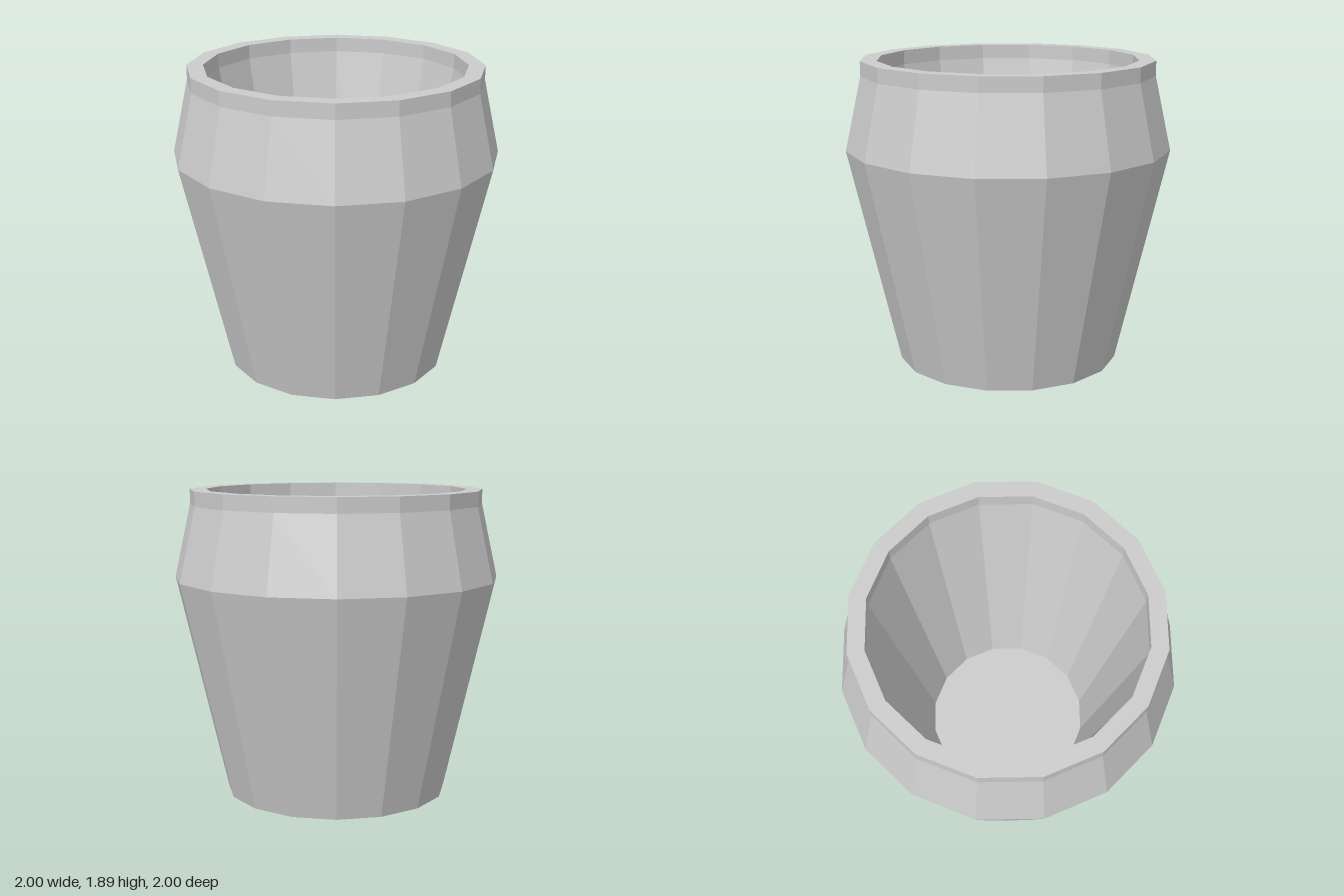
import * as THREE from 'three';

const SIDES = 16;

export function createModel() {
  const group = new THREE.Group();
  group.name = 'pot';
  const material = new THREE.MeshStandardMaterial({ color: 0xcccccc, flatShading: true });

  // Faceted ring of walls turned from a [radius, height] profile
  const addPart = (name, profile) => {
    const points = profile.map(([r, y]) => new THREE.Vector2(r, y));
    const mesh = new THREE.Mesh(new THREE.LatheGeometry(points, SIDES), material);
    mesh.name = name;
    group.add(mesh);
  };

  // Underside, flared body and shoulder
  addPart('body', [[0, 0], [0.69, 0], [1, 1.35], [0.9, 1.8]]);
  // Upright collar with a flat lip
  addPart('rim', [[0.9, 1.8], [0.9, 1.89], [0.8, 1.89], [0.8, 1.8]]);
  // Tapered hollow and its floor
  addPart('interior', [[0.8, 1.8], [0.505, 0.25], [0, 0.25]]);

  return group;
}
